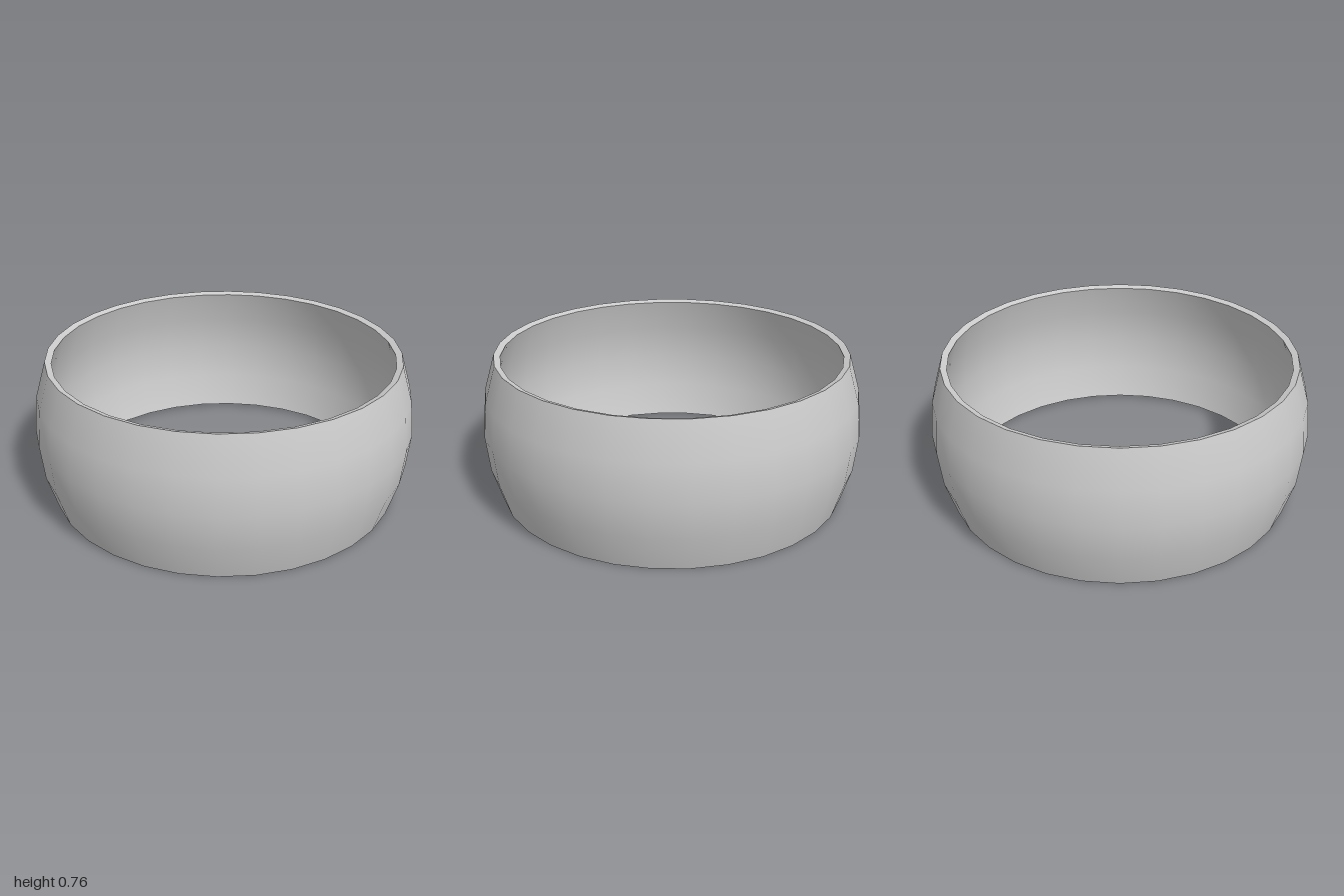
import * as THREE from 'three';

export function createModel() {
  const ring = new THREE.Group();
  ring.name = 'ringBand';
  const material = new THREE.MeshStandardMaterial({ color: 0xcccccc });

  // Cross-sections as [radius, height], bottom to top
  const outer = [[0.923, 0], [0.98, 0.19], [1, 0.38], [0.98, 0.57], [0.923, 0.76]];
  const inner = [[0.89, 0.011], [0.945, 0.192], [0.965, 0.38], [0.945, 0.568], [0.89, 0.749]];

  // Each surface is turned separately so the rim edges stay sharp
  const turn = (name, points) => {
    const profile = points.map(([r, y]) => new THREE.Vector2(r, y));
    const mesh = new THREE.Mesh(new THREE.LatheGeometry(profile, 32), material);
    mesh.name = name;
    ring.add(mesh);
  };

  // Bulging walls
  turn('outerWall', outer);
  turn('innerWall', [...inner].reverse());

  // Narrow rims, sloping towards the hole
  turn('topRim', [outer[4], inner[4]]);
  turn('bottomRim', [inner[0], outer[0]]);

  return ring;
}
